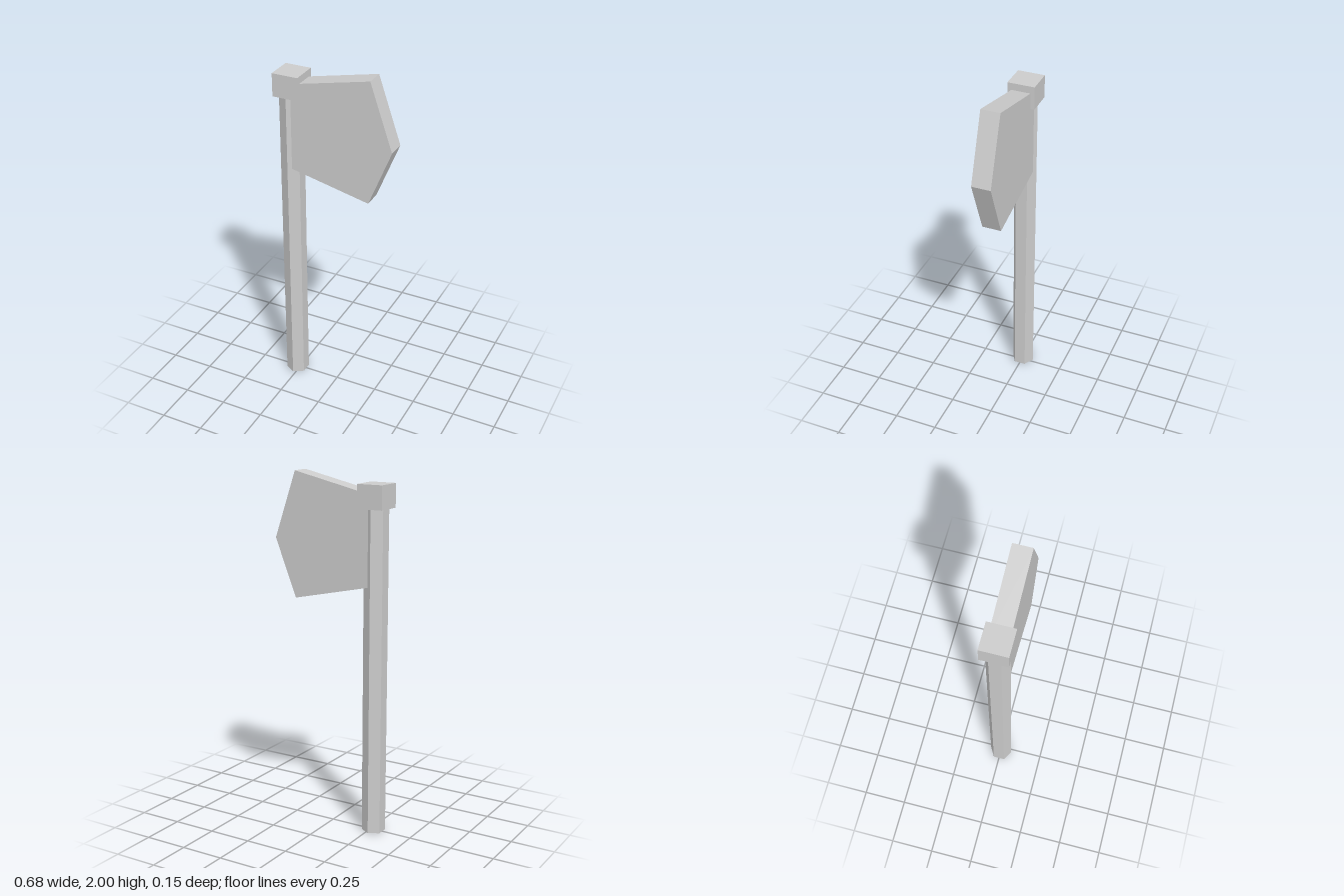
import * as THREE from 'three';

export function createModel() {
  const group = new THREE.Group();
  group.name = 'axe';
  const grey = new THREE.MeshStandardMaterial({ color: 0xcccccc, flatShading: true });
  grey.name = 'light grey';

  const add = (name, geometry, x, y, z) => {
    const mesh = new THREE.Mesh(geometry, grey);
    mesh.name = name;
    mesh.position.set(x, y, z);
    group.add(mesh);
  };

  // Six-sided shaft, flats facing left and right
  const shaftHeight = 1.86;
  add('shaft', new THREE.CylinderGeometry(0.066, 0.066, shaftHeight, 6), -0.267, shaftHeight / 2, 0);

  // Block capping the shaft
  add('cap', new THREE.BoxGeometry(0.149, 0.13, 0.152), -0.2645, 1.885, 0);

  // Flaring blade with a pointed cutting edge, its root buried in the shaft
  const outline = new THREE.Shape([
    [-0.267, 1.407], [0.21, 1.3], [0.339, 1.627], [0.21, 2], [-0.267, 1.893],
  ].map(([x, y]) => new THREE.Vector2(x, y)));
  const thickness = 0.107;
  add('blade', new THREE.ExtrudeGeometry(outline, { depth: thickness, bevelEnabled: false }), 0, 0, -thickness / 2);

  return group;
}
